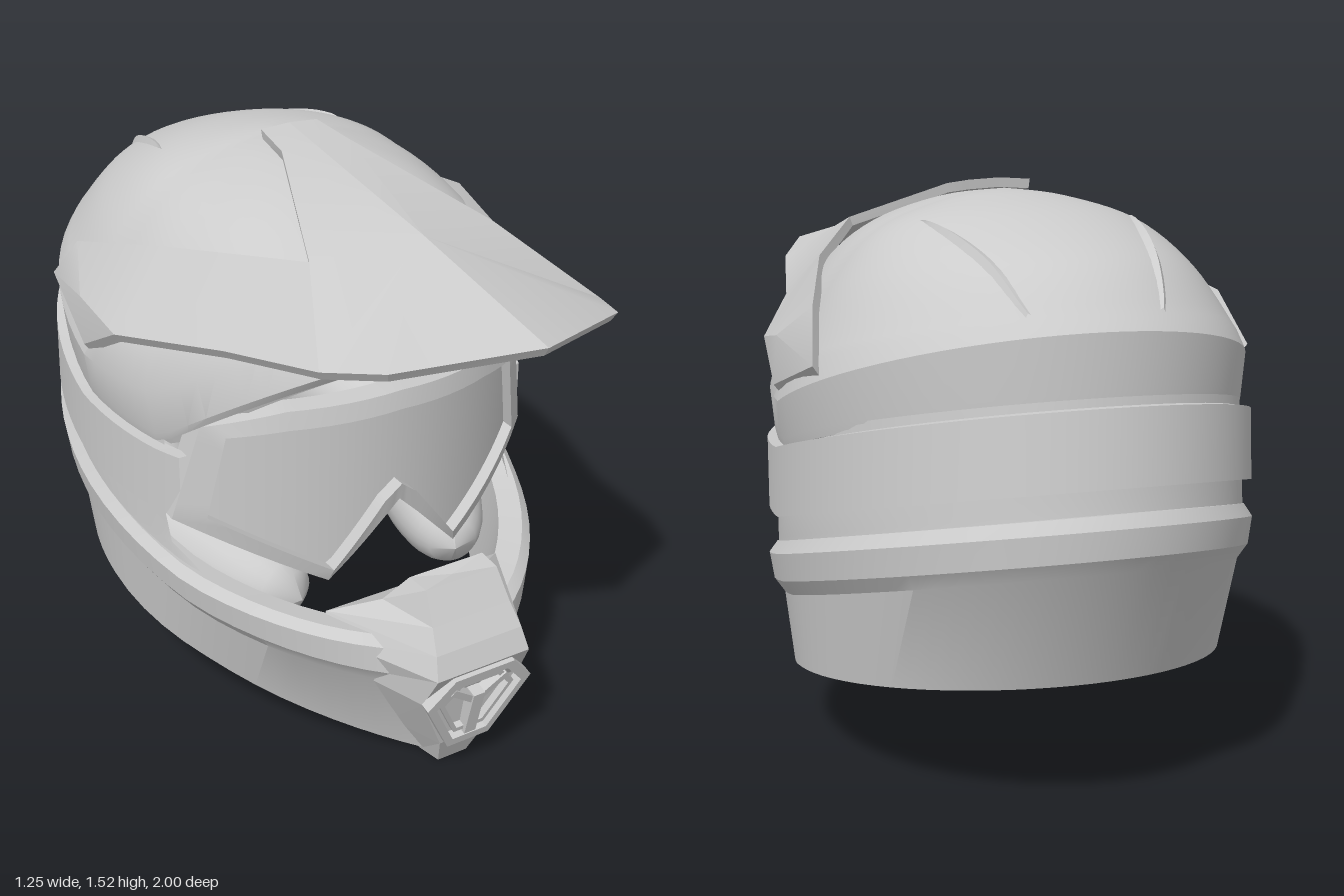
import * as THREE from 'three';
import { toCreasedNormals } from 'three/addons/utils/BufferGeometryUtils.js';

const grey = new THREE.MeshStandardMaterial({ color: 0xcccccc, side: THREE.DoubleSide });
const flatGrey = new THREE.MeshStandardMaterial({ color: 0xcccccc, side: THREE.DoubleSide, flatShading: true });
const V = (x, y, z) => new THREE.Vector3(x, y, z);

function named(name, geometry, material = grey) {
  const mesh = new THREE.Mesh(geometry, material);
  mesh.name = name;
  return mesh;
}

// Skin over rows of points, each row with the same count
function loft(rows, crease = 0.5) {
  const n = rows[0].length, index = [];
  for (let i = 0; i < rows.length - 1; i++)
    for (let j = 0; j < n - 1; j++) {
      const a = i * n + j, b = a + n;
      index.push(a, a + 1, b + 1, a, b + 1, b);
    }
  const g = new THREE.BufferGeometry().setFromPoints(rows.flat());
  g.setIndex(index);
  return toCreasedNormals(g, crease);
}

// Ring round the head: w half width, zf/zb front and back reach, heights at back, side, cheek, front;
// a power above 1 pinches the front to a point, below 1 makes it fuller
function ring([w, zf, zb, yb, ys, ym, yf], power = 1, cMax = 1, n = 72) {
  const a0 = Math.acos(cMax), zc = Math.max(-0.2, zb), pts = [];
  for (let j = 0; j <= n; j++) {
    const a = a0 + (j / n) * 2 * (Math.PI - a0), c = Math.cos(a), s = Math.sin(a);
    const x = w * Math.sign(s) * Math.abs(s) ** (c > 0 ? power : 1);
    const z = zc + (c > 0 ? zf - zc : zc - zb) * c;
    const y = c < 0 ? ys + (yb - ys) * -c
      : c < 0.45 ? ys + (ym - ys) * c / 0.45 : ym + (yf - ym) * (c - 0.45) / 0.55;
    pts.push(V(x, y, z));
  }
  return pts;
}

// Spline between rows of ring numbers
function refine(rows, n) {
  const curves = rows[0].map((_, k) => new THREE.SplineCurve(rows.map((r, i) => new THREE.Vector2(i, r[k]))));
  return Array.from({ length: n + 1 }, (_, i) => curves.map(c => c.getPoint(i / n).y));
}

function polyY(points, x) {
  for (let i = 0; i < points.length - 1; i++) {
    const [x0, y0] = points[i], [x1, y1] = points[i + 1];
    if (x <= x1) return y0 + (y1 - y0) * (x - x0) / (x1 - x0);
  }
  return points[points.length - 1][1];
}

function mirrored(name, half) {
  const g = new THREE.Group(), other = half.clone();
  other.scale.x = -1;
  g.add(half, other);
  g.name = name;
  return g;
}

function makeGoggles() {
  const g = new THREE.Group();
  g.name = 'goggles';
  const outer = [[0, .66], [.06, .6], [.2, .45], [.556, .645], [.49, .925], [.3, .97], [0, .985]];
  const inner = [[0, .71], [.05, .67], [.19, .485], [.485, .66], [.44, .9], [.3, .92], [0, .935]];
  const at = (x, y, d) => V(x, y, .435 - .75 * x * x + d);
  const perimeter = (half, d) => {
    const loop = [...half, ...half.slice(0, -1).reverse().map(([x, y]) => [-x, y])], pts = [];
    for (let i = 0; i < loop.length - 1; i++)
      for (let k = 0; k < 6; k++) {
        const t = k / 6, [p, q] = [loop[i], loop[i + 1]];
        pts.push(at(p[0] + (q[0] - p[0]) * t, p[1] + (q[1] - p[1]) * t, d));
      }
    return [...pts, pts[0].clone()];
  };
  g.add(named('goggleFrame', loft([perimeter(outer, -.08), perimeter(outer, -.01),
    perimeter(inner, 0), perimeter(inner, -.03), perimeter(inner, -.08), perimeter(outer, -.08)])));
  const xs = Array.from({ length: 61 }, (_, i) => (i / 30 - 1) * .485);
  const lower = inner.slice(0, 4), upper = inner.slice(3).reverse();
  g.add(named('lens', loft([lower, upper].map(l => xs.map(x => at(x, polyY(l, Math.abs(x)), -.04))))));
  // Strap wrapping the shell
  const s = (w, zb, low) => ring(low ? [w, .53, zb, .87, .665, .645, .645] : [w, .53, zb + .03, 1.05, .85, .83, .83], .8, .56);
  g.add(named('strap', loft([s(.622, -.985, 1), s(.622, -.985, 0), s(.58, -.94, 0), s(.58, -.94, 1), s(.622, -.985, 1)])));
  return g;
}

function makePeak() {
  const p = [[0, 1.35, 1], [.32, 1.30, .85], [.40, 1.255, .69], [.47, 1.18, .35], [.605, 1.11, 0], [.618, 1.01, -.18],
    [.58, 1.1, -.47], [.55, 1.23, -.35], [.45, 1.32, 0], [.265, 1.39, .41], [.1, 1.505, -.02], [.085, 1.52, -.16],
    [0, 1.525, -.16], [0, 1.435, .5], [.612, 1.14, -.2]];
  const faces = [[0, 1, 13], [1, 2, 13], [2, 9, 13], [2, 3, 9], [3, 8, 9], [3, 4, 8], [4, 14, 8], [4, 5, 14],
    [5, 6, 14], [6, 7, 14], [7, 8, 14], [9, 10, 13], [10, 12, 13], [10, 11, 12]];
  const n = p.length;
  const under = p.map(([x, y, z]) => [x * .97, y - .025, z * .985]);
  const index = faces.flatMap(([a, b, c]) => [a, b, c, n + a, n + c, n + b]);
  for (let i = 0; i < 12; i++) index.push(i, n + i, n + i + 1, i, n + i + 1, i + 1);
  const g = new THREE.BufferGeometry().setFromPoints([...p, ...under].map(q => V(...q)));
  g.setIndex(index);
  return mirrored('peak', named('peakHalf', toCreasedNormals(g, .45)));
}

function makeMouthpiece() {
  const g = new THREE.Group();
  g.name = 'mouthpiece';
  // y, front half width, front z, back half width, back z
  const sections = [[.005, .045, .715, .06, .65], [.1, .07, .755, .13, .6], [.28, .15, .785, .24, .54],
    [.38, .14, .835, .28, .53], [.44, .13, .81, .27, .5], [.5, .118, .77, .16, .6], [.58, .108, .72, .112, .65],
    [.57, 0, .68, 0, .68]];
  g.add(named('chinNose', loft(sections.map(([y, xf, zf, xb, zb]) =>
    [V(-xb, y, zb), V(-xf, y, zf), V(xf, y, zf), V(xb, y, zb), V(-xb, y, zb)]), .2), flatGrey));
  // Grille: hexagonal surround with keystone bars
  const hex = k => [[.09, .13], [.16, .045], [.065, -.14], [-.065, -.14], [-.16, .045], [-.09, .13]]
    .map(([x, y]) => new THREE.Vector2(x * k, y * k));
  const grille = new THREE.Group();
  const surround = (name, k, hole, depth) => {
    const shape = new THREE.Shape(hex(k));
    shape.holes.push(new THREE.Path(hex(hole)));
    grille.add(named(name, new THREE.ExtrudeGeometry(shape, { depth, bevelEnabled: false }), flatGrey));
  };
  surround('grilleSurround', 1, .82, .03);
  surround('grilleInnerRing', .72, .62, .02);
  const bar = named('grilleBar', new THREE.BoxGeometry(.035, .15, .04));
  bar.position.set(0, -.035, .01);
  grille.add(bar);
  for (const s of [-1, 1]) {
    const arm = named('grilleArm', new THREE.BoxGeometry(.02, .1, .03));
    arm.position.set(s * .045, .045, .01);
    arm.rotation.z = -s * .9;
    grille.add(arm);
  }
  grille.name = 'grille';
  grille.position.set(0, .25, .785);
  grille.rotation.x = .23;
  g.add(grille);
  return g;
}

// Padded roll from cheek to cheek round the neck, tapering to rounded ends
function makeNeckRoll() {
  const half = [[.25, .37, .34], [.33, .39, .1], [.41, .43, -.2], [.33, .51, -.5]];
  const path = new THREE.CatmullRomCurve3([...half, [0, .58, -.68],
    ...half.slice().reverse().map(([x, y, z]) => [-x, y, z])].map(q => V(...q)));
  const n = 72, { normals, binormals } = path.computeFrenetFrames(n);
  const rows = normals.map((normal, i) => {
    const centre = path.getPointAt(i / n);
    const r = Math.max(.002, .155 * Math.sqrt(1 - Math.abs(2 * i / n - 1) ** 8));
    return Array.from({ length: 25 }, (_, j) => {
      const a = -j / 24 * Math.PI * 2;
      return centre.clone().addScaledVector(normal, r * Math.cos(a)).addScaledVector(binormals[i], r * Math.sin(a));
    });
  });
  return named('neckRoll', loft(rows, 1));
}

export function createModel() {
  const model = new THREE.Group();
  model.name = 'helmet';

  // Crown: lip and bevel, then a smooth dome
  const domeRows = refine([[.59, .46, -.885, 1.24, 1.05, 1.08, 1.25], [.48, .36, -.75, 1.36, 1.26, 1.28, 1.335],
    [.35, .2, -.52, 1.45, 1.4, 1.4, 1.42], [.16, .02, -.33, 1.49, 1.475, 1.475, 1.475],
    [.001, -.199, -.201, 1.5, 1.5, 1.5, 1.5]], 24);
  const crownRows = [[.56, .47, -.87, 1.03, .84, .83, 1.11], [.595, .52, -.91, 1.05, .85, .835, 1.125],
    [.6, .535, -.91, 1.08, .87, .86, 1.15], [.613, .5, -.908, 1.215, .97, .98, 1.21], ...domeRows];
  const crown = named('crown', loft(crownRows.map(r => ring(r, .8)), .4));
  model.add(crown);
  const liner = [crownRows[0], ...crownRows.slice(3)].map(([w, f, b, ...ys]) =>
    [w * .95, -.2 + (f + .2) * .94, -.2 + (b + .2) * .95, ...ys.map(y => y - .04)]);
  model.add(named('headLiner', loft(liner.map(r => ring(r, .8)))));

  // Raised ribs draped over the crown
  const ray = new THREE.Raycaster();
  const drape = (x, z) => {
    ray.set(V(x, 3, z), V(0, -1, 0));
    const hit = ray.intersectObject(crown)[0];
    return hit ? hit.point.y : 1.2;
  };
  const ribRows = [-.02, .004, .016].map((dx, k) => Array.from({ length: 17 }, (_, i) => {
    const t = i / 16, taper = Math.sin(Math.PI * Math.min(1, t + .08)) ** .5;
    const x = .165 + .12 * t ** .8 + dx * taper, z = -.84 + .5 * t;
    return V(x, drape(x, z) + (k === 1 ? .016 * taper : -.004), z);
  }));
  model.add(mirrored('crownRibs', named('rib', loft(ribRows))));

  // Recessed side wall behind the strap, sweeping forward into the cheeks
  model.add(named('sideWall', loft([ring([.6, .6, -.975, .77, .57, .47, .44], 1, .6),
    ring([.6, .53, -.965, .82, .61, .54, .52], .9, .47), ring([.598, .53, -.96, .87, .66, .62, .62], .85, .45),
    ring([.59, .53, -.93, 1.07, .88, .86, .86], .85, .45)])));

  // Jaw: ridge, stepped wall, rim and inner wall, pinched to a V at the chin (last number)
  model.add(named('jaw', loft([[.54, .68, -.82, .36, .25, .16, .01, 1.9], [.567, .71, -.855, .365, .25, .16, .005, 1.9],
    [.585, .76, -.975, .67, .45, .35, .27, 1.45], [.612, .78, -.998, .71, .49, .39, .32, 1.35],
    [.623, .76, -1, .78, .565, .46, .4, 1.25], [.6, .72, -.98, .81, .6, .49, .42, 1.2],
    [.54, .64, -.9, .8, .58, .48, .41, 1.2], [.52, .64, -.8, .38, .27, .18, .04, 1.8],
    [.54, .68, -.82, .36, .25, .16, .01, 1.9]].map(r => ring(r, r[7])), .35)));

  model.add(makeMouthpiece(), makeGoggles(), makePeak(), makeNeckRoll());
  return model;
}
